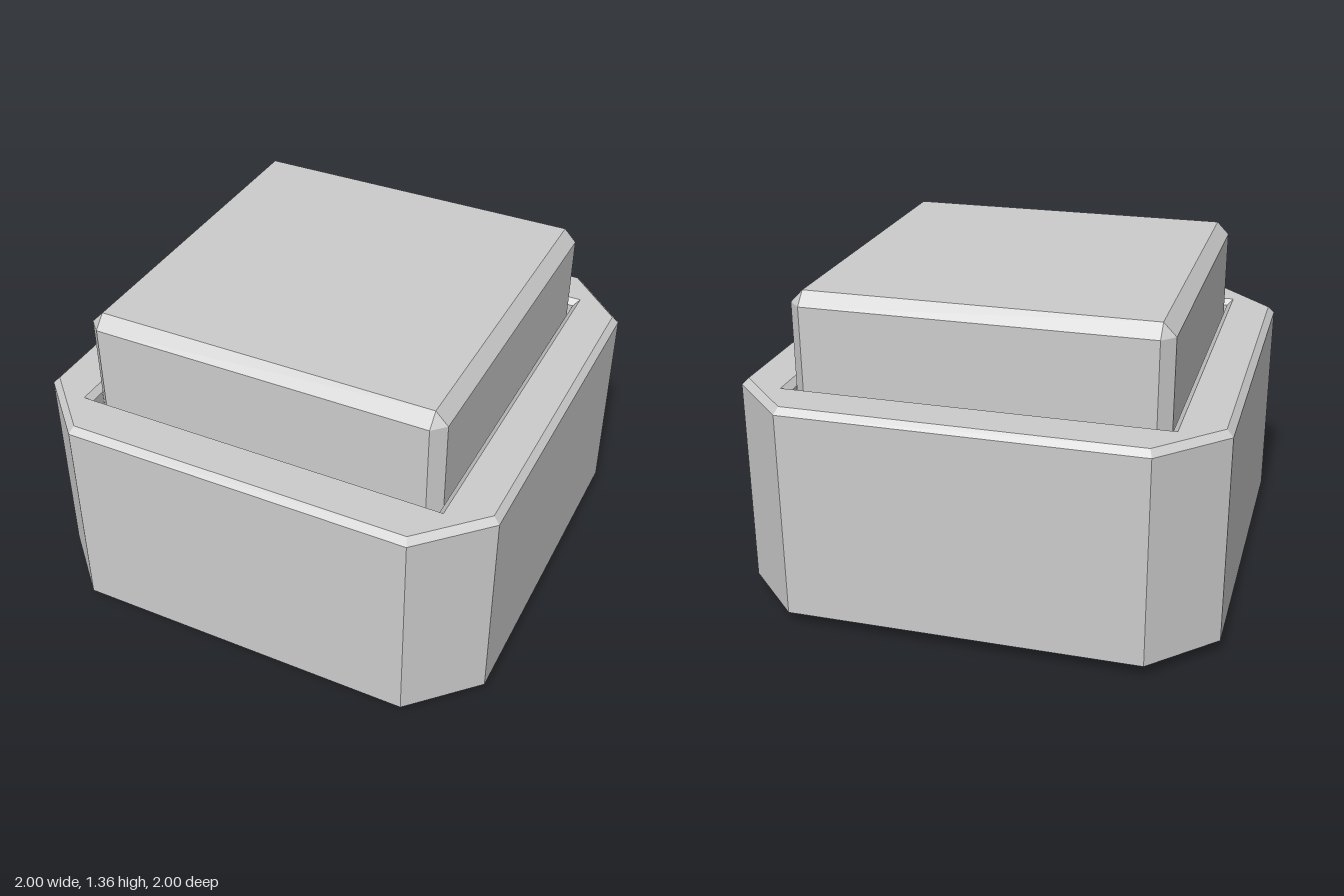
import * as THREE from 'three';
import { toCreasedNormals } from 'three/addons/utils/BufferGeometryUtils.js';

// Square ring of half-width h with its corners cut back by c, at height y
function ring([y, h, c]) {
  const points = [];
  for (let k = 0; k < 4; k++) {
    const cos = [1, 0, -1, 0][k], sin = [0, 1, 0, -1][k];
    for (const [x, z] of [[h, c - h], [h, h - c]]) {
      points.push(new THREE.Vector3(x * cos - z * sin, y, x * sin + z * cos));
    }
  }
  return points;
}

// Skin a stack of rings given as [y, half-width, corner cut]; half-width 0 closes a cap
function loft(profile) {
  const rings = profile.map(ring);
  const positions = [];
  const addTriangle = (...corners) => {
    if (new THREE.Triangle(...corners).getArea() < 1e-7) return;
    corners.forEach((p) => positions.push(p.x, p.y, p.z));
  };
  for (let i = 0; i < rings.length - 1; i++) {
    for (let j = 0; j < 8; j++) {
      const n = (j + 1) % 8;
      const a = rings[i][j], b = rings[i][n];
      const c = rings[i + 1][n], d = rings[i + 1][j];
      addTriangle(a, d, b);
      addTriangle(b, d, c);
    }
  }
  const geometry = new THREE.BufferGeometry();
  geometry.setAttribute('position', new THREE.Float32BufferAttribute(positions, 3));
  return toCreasedNormals(geometry, 0.5);
}

export function createModel() {
  const group = new THREE.Group();
  const material = new THREE.MeshStandardMaterial({ color: 0xcccccc });
  const add = (name, profile) => {
    const mesh = new THREE.Mesh(loft(profile), material);
    mesh.name = name;
    group.add(mesh);
  };

  // Housing: shallow domed underside, bevelled rim and a square well for the button
  add('housing', [
    [0, 0, 0],
    [0, 0.72, 0.1],
    [0.057, 1, 0.26],
    [0.94, 1, 0.26],
    [0.967, 0.973, 0.244],
    [0.967, 0.8, 0],
    [0.942, 0.775, 0],
    [0.85, 0.775, 0],
    [0.85, 0, 0],
  ]);

  // Button: cut corners and a bevelled top edge
  add('button', [
    [0.85, 0, 0],
    [0.85, 0.768, 0.052],
    [1.306, 0.768, 0.052],
    [1.36, 0.716, 0],
    [1.36, 0, 0],
  ]);

  return group;
}
